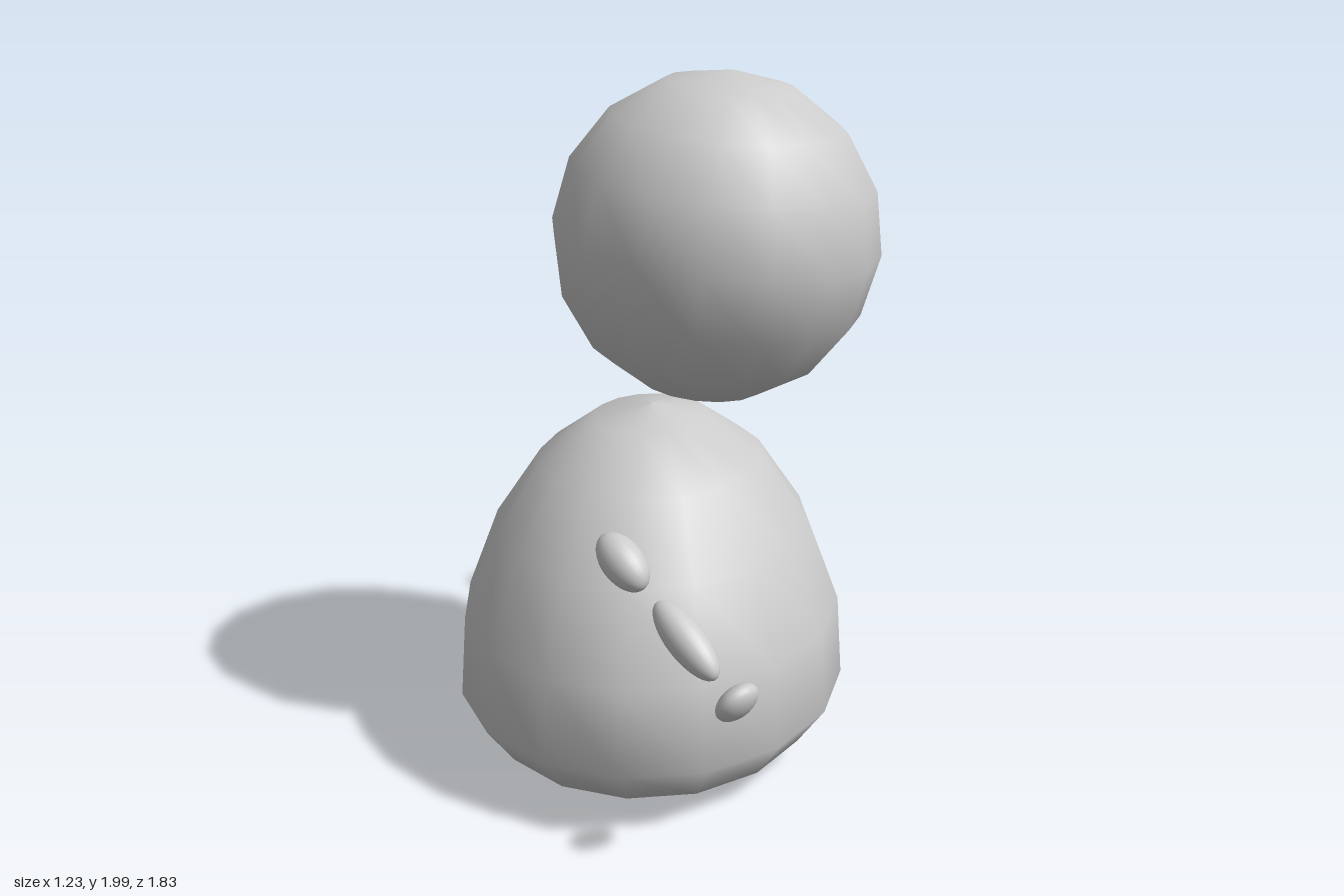
import * as THREE from 'three';

const grey = new THREE.MeshStandardMaterial({ color: 0xcccccc });

function part(name, geometry, parent) {
  const mesh = new THREE.Mesh(geometry, grey);
  mesh.name = name;
  parent.add(mesh);
  return mesh;
}

// Three beads per arm: centre, radius along the arm, radius across it
const beadSizes = [
  ['upperArm', 0.094, 0.057],
  ['forearm', 0.129, 0.051],
  ['hand', 0.036, 0.063],
];

function makeArm(name, centres, direction) {
  const arm = new THREE.Group();
  arm.name = name;
  const axis = new THREE.Vector3(...direction).normalize();
  beadSizes.forEach(([beadName, along, across], i) => {
    const bead = part(beadName, new THREE.SphereGeometry(1, 24, 16), arm);
    bead.scale.set(across, along, across);
    bead.quaternion.setFromUnitVectors(new THREE.Vector3(0, 1, 0), axis);
    bead.position.set(...centres[i]);
  });
  return arm;
}

export function createModel() {
  const model = new THREE.Group();
  model.name = 'figure';

  // Dome body with a softly flattened base, narrower from side to side
  const profile = [
    [0, 0.005], [0.34, 0.028], [0.612, 0.08], [0.717, 0.2], [0.697, 0.44],
    [0.582, 0.68], [0.413, 0.88], [0.21, 0.998], [0, 1.032],
  ].map(([r, y]) => new THREE.Vector2(r, y));
  const body = part('body', new THREE.LatheGeometry(profile, 16), model);
  body.scale.x = 0.803;
  body.position.set(-0.04, 0, -0.002);

  // Slightly tilted round head
  const head = part('head', new THREE.SphereGeometry(0.465, 16, 8), model);
  head.position.set(0.147, 1.537, 0.04);
  head.rotation.set(0.045, 0, -0.097);

  // Floating beaded arms at the front and back of the body
  model.add(makeArm('frontArm',
    [[-0.046, 0.78, 0.612], [0.134, 0.628, 0.75], [0.273, 0.515, 0.857]],
    [0.65, -0.56, 0.53]));
  model.add(makeArm('backArm',
    [[-0.065, 0.767, -0.593], [-0.245, 0.628, -0.746], [-0.376, 0.517, -0.864]],
    [-0.65, -0.56, -0.53]));

  return model;
}
